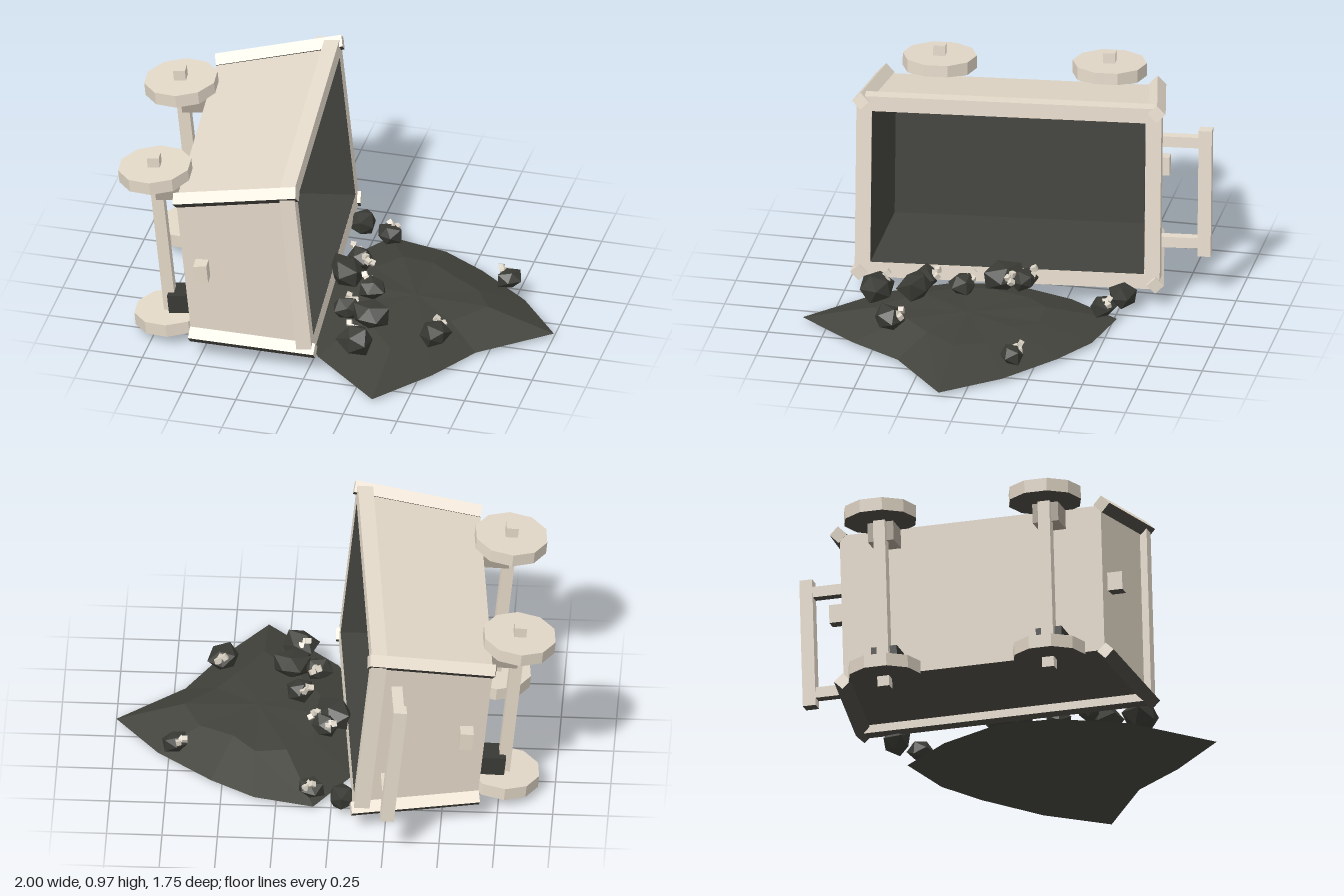
import * as THREE from 'three';

const mat = (name, color) => Object.assign(new THREE.MeshStandardMaterial({ color }), { name });
const wood = mat('pale wood', 0xe3d8c8);
const trim = mat('light trim', 0xefe4d4);
const bracket = mat('bracket tan', 0xa89e91);
const inside = mat('dark interior', 0x42433d);
const soot = mat('sooty underside', 0x4c4a43);
const coal = mat('coal', 0x393a34);
const heap = mat('coal dust', 0x42423c);
const nuggetMat = mat('nugget', 0xdcd4c6);

// Box faces run right, left, top, bottom, front, back
const sooty = (m) => [m, m, m, soot, m, m];
const sootyWood = sooty(wood);
const sootyTrim = sooty(trim);

// Gives every face its own flat normal
function facet(geo) {
  const g = geo.index ? geo.toNonIndexed() : geo;
  g.computeVertexNormals();
  return g;
}

function add(parent, name, geo, material, x = 0, y = 0, z = 0) {
  const m = new THREE.Mesh(geo, material);
  m.name = name;
  m.position.set(x, y, z);
  parent.add(m);
  return m;
}
const box = (x, y, z) => new THREE.BoxGeometry(x, y, z);

// Open tapered tub: mouth at +x, floor at -x; flipped for the lining
function tub(u0, u1, floorV, floorW, mouthV, mouthW, flip) {
  const g = box(2, 2, 2);
  const p = g.attributes.position;
  for (let i = 0; i < p.count; i++) {
    const mouth = p.getX(i) > 0;
    p.setXYZ(i, mouth ? u1 : u0,
      p.getY(i) * (mouth ? mouthV : floorV),
      p.getZ(i) * (mouth ? mouthW : floorW));
  }
  const idx = Array.from(g.index.array).slice(6);
  g.setIndex(flip ? idx.reverse() : idx);
  g.clearGroups();
  return facet(g);
}

function buildCart() {
  const cart = new THREE.Group();
  cart.name = 'tippedCart';
  // Outer shell, with the wall lying towards the ground sooty
  const shell = tub(-0.56, -0.01, 0.345, 0.61, 0.4, 0.665, false);
  shell.addGroup(0, 12, 0);
  shell.addGroup(12, 6, 1);
  shell.addGroup(18, 12, 0);
  add(cart, 'tubOutside', shell, [wood, soot]);
  add(cart, 'tubInside', tub(-0.52, 0, 0.305, 0.565, 0.36, 0.62, true), inside);

  for (const s of [-1, 1]) {
    // Rim around the mouth
    add(cart, 'rimLong', box(0.07, 0.07, 1.32), sootyTrim, -0.035, s * 0.396, 0);
    add(cart, 'rimShort', box(0.07, 0.8, 0.07), trim, -0.035, 0, s * 0.656);
    // Square peg on each end
    add(cart, 'endPeg', box(0.06, 0.085, 0.09), sootyWood, -0.47, 0, s * 0.64);
    // Handle arms
    add(cart, 'handleArm', box(0.05, 0.05, 0.24), sootyTrim, -0.13, s * 0.24, -0.75);
    // Axles, wheels and axle blocks
    add(cart, 'axle', box(0.055, 0.9, 0.055), sootyWood, -0.687, 0, s * 0.385);
    for (const t of [-1, 1]) {
      const wheel = facet(new THREE.CylinderGeometry(0.168, 0.168, 0.06, 10));
      add(cart, 'wheel', wheel, [wood, wood, soot], -0.687, t * 0.372, s * 0.385);
      add(cart, 'axleBlock', box(0.13, 0.09, 0.12), t < 0 ? coal : bracket, -0.622, t * 0.297, s * 0.385);
      // Corner posts set diagonally along the tapered edges, sooty on both lower faces
      const a = new THREE.Vector3(-0.565, t * 0.35, s * 0.615);
      const b = new THREE.Vector3(0.012, t * 0.41, s * 0.672);
      const dir = b.clone().sub(a);
      const geo = box(dir.length(), 0.055, 0.055).rotateX(Math.PI / 4);
      const post = add(cart, 'cornerPost', geo, [trim, trim, trim, soot, soot, trim]);
      post.position.copy(a).add(b).multiplyScalar(0.5);
      post.quaternion.setFromUnitVectors(new THREE.Vector3(1, 0, 0), dir.normalize());
    }
  }
  add(cart, 'handleBar', box(0.06, 0.6, 0.06), sootyTrim, -0.13, 0, -0.88);

  cart.rotation.set(0, 0.1, 0.1);
  cart.position.set(-0.083, 0.52, 0.015);
  return cart;
}

// Low mound fanned out from a centre through one middle ring, closed below
function buildMound() {
  const rim = [[0.08, -0.52], [0.35, -0.46], [0.55, -0.34], [0.8, -0.14], [1, 0.11], [0.7, 0.36],
    [0.56, 0.6], [0.35, 0.87], [0.02, 0.57], [-0.14, 0.28], [-0.18, 0.02], [-0.08, -0.28]];
  const c = [0.36, 0.11];
  const n = rim.length;
  const pos = [c[0], 0.125, c[1], c[0], 0.018, c[1]];
  rim.forEach(([x, z], i) => {
    const k = 0.52 + 0.06 * (i % 2);
    pos.push(c[0] + (x - c[0]) * k, i % 2 ? 0.1 : 0.113, c[1] + (z - c[1]) * k);
    pos.push(x, 0.018, z);
  });
  const idx = [];
  for (let i = 0; i < n; i++) {
    const m = 2 + i * 2, o = m + 1, m2 = 2 + ((i + 1) % n) * 2, o2 = m2 + 1;
    idx.push(0, m2, m, m, m2, o, m2, o2, o, 1, o, o2);
  }
  const g = new THREE.BufferGeometry();
  g.setAttribute('position', new THREE.Float32BufferAttribute(pos, 3));
  g.setIndex(idx);
  return facet(g);
}

// Uneven lump of coal
function lump(seed) {
  const g = new THREE.IcosahedronGeometry(1, 0);
  const p = g.attributes.position;
  const v = new THREE.Vector3();
  for (let i = 0; i < p.count; i++) {
    v.fromBufferAttribute(p, i);
    v.multiplyScalar(1 + 0.16 * Math.sin(v.x * 5 + v.y * 7 + v.z * 11 + seed * 2.3));
    p.setXYZ(i, v.x, v.y, v.z);
  }
  return facet(g);
}

export function createModel() {
  const model = new THREE.Group();
  model.name = 'spilledCart';
  model.add(buildCart());
  add(model, 'coalMound', buildMound(), heap);

  // Lumps: x, y, z, radius, then nugget offset in x and z
  const lumps = [
    [-0.05, 0.075, -0.52, 0.07, 0, 0], [0.09, 0.08, -0.455, 0.062, 0.01, -0.03],
    [0.05, 0.16, -0.085, 0.062, -0.03, -0.04], [0.01, 0.145, 0.02, 0.085, 0.09, -0.06],
    [0.17, 0.17, 0.17, 0.065, -0.03, -0.04], [0.1, 0.155, 0.35, 0.063, 0.01, -0.05],
    [0.22, 0.16, 0.38, 0.085, 0, 0], [0.2, 0.135, 0.565, 0.085, -0.03, -0.045],
    [0.53, 0.14, 0.44, 0.072, 0.01, -0.06], [0.72, 0.105, -0.17, 0.06, -0.03, -0.03],
  ];
  lumps.forEach(([x, y, z, r, dx, dz], i) => {
    const rock = add(model, 'coalLump', lump(i), coal, x, y, z);
    rock.scale.set(r, r * 0.85, r * (i === 3 ? 1.2 : 1));
    rock.rotation.set(0, i * 1.3, 0);
    if (!dx) return;
    // Pale nuggets poking out of the lump
    for (let k = 0; k < 3; k++) {
      const nugget = add(model, 'nugget', box(0.024, 0.024, 0.024), nuggetMat,
        x + dx + (k - 1) * 0.015, y + r * (0.6 - 0.15 * k), z + dz + (k % 2) * 0.016);
      nugget.rotation.set(i + k, i * 0.7, k);
    }
  });
  return model;
}
